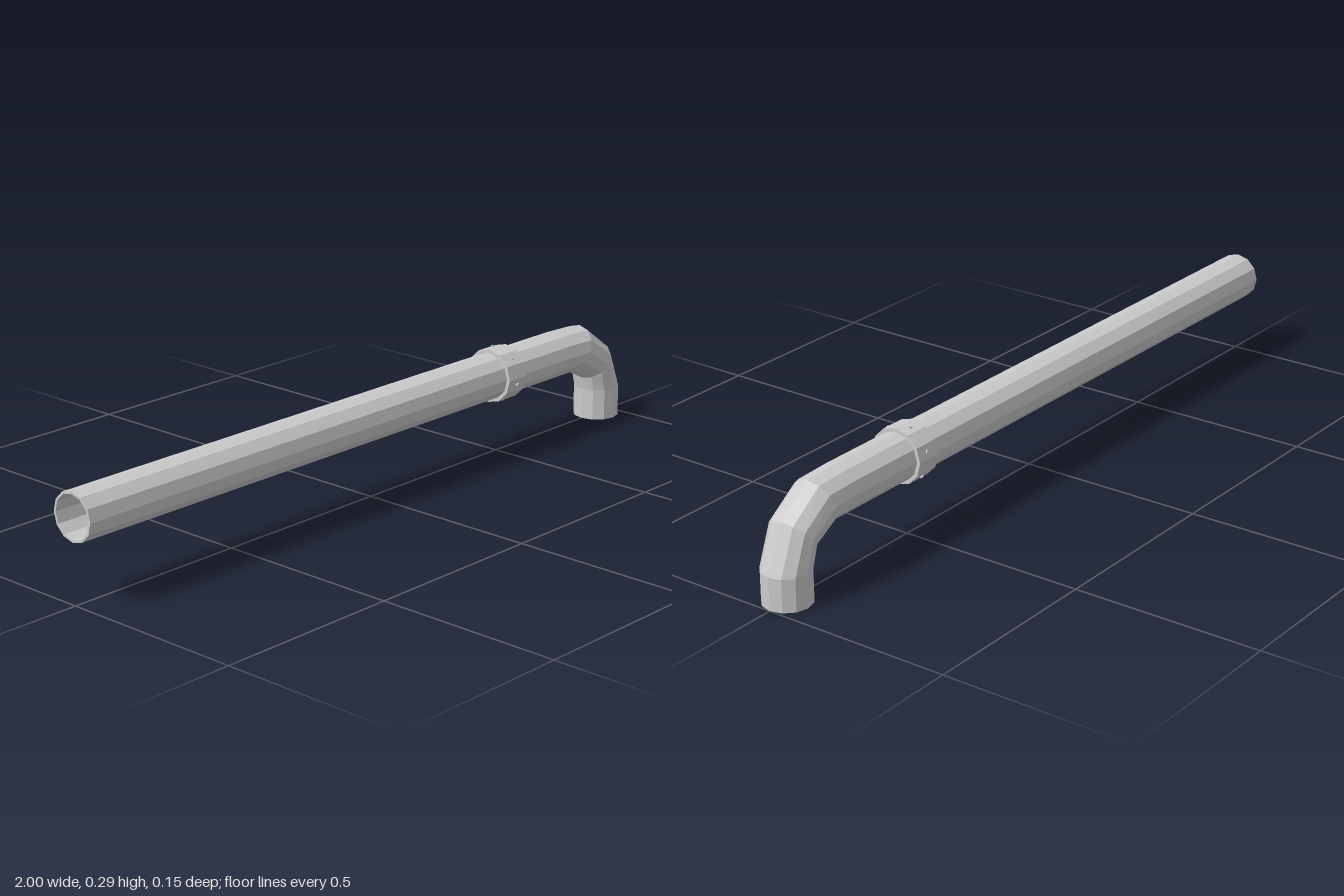
import * as THREE from 'three';

const SIDES = 12, AXIS_Y = 0.217, RADIUS = 0.0625;
const material = new THREE.MeshStandardMaterial({ color: 0xcccccc, flatShading: true });

// Hollow tube through rings given as [outerX, outerY, innerX, innerY];
// the wall runs out along the rings, back inside, and closes at both ends.
function hollowTube(rings, radius, bore) {
  const path = [
    ...rings.map((r) => [r, 1]),
    ...[...rings].reverse().map((r) => [r, bore]),
  ];
  const positions = [], index = [];
  for (const [[ox, oy, ix, iy], s] of path) {
    for (let k = 0; k < SIDES; k++) {
      const t = (k / SIDES) * Math.PI * 2, c = Math.cos(t) * s * 0.5;
      positions.push(
        (ox + ix) / 2 + (ox - ix) * c,
        (oy + iy) / 2 + (oy - iy) * c,
        Math.sin(t) * radius * s
      );
    }
  }
  for (let j = 0; j < path.length; j++) {
    const next = (j + 1) % path.length;
    for (let k = 0; k < SIDES; k++) {
      const k2 = (k + 1) % SIDES;
      const a = j * SIDES + k, b = next * SIDES + k;
      const d = j * SIDES + k2, e = next * SIDES + k2;
      index.push(a, d, b, b, d, e);
    }
  }
  const geometry = new THREE.BufferGeometry();
  geometry.setAttribute('position', new THREE.Float32BufferAttribute(positions, 3));
  geometry.setIndex(index);
  const flat = geometry.toNonIndexed();
  flat.computeVertexNormals();
  return flat;
}

// Upright ring on the horizontal axis
const straight = (x, r) => [x, AXIS_Y + r, x, AXIS_Y - r];

export function createModel() {
  const model = new THREE.Group();
  model.name = 'drainPipe';
  const add = (name, geometry, parent = model) => {
    const mesh = new THREE.Mesh(geometry, material);
    mesh.name = name;
    parent.add(mesh);
    return mesh;
  };

  // Long pipe with a bent elbow and a short downward outlet
  add('pipe', hollowTube([
    straight(-1, RADIUS),
    straight(0.75, RADIUS),
    [0.855, 0.275, 0.80, 0.155],
    [0.95, 0.205, 0.87, 0.12],
    [1, 0.085, 0.875, 0.085],
    [1, 0, 0.875, 0],
  ], RADIUS, 0.9));

  // Collar around the pipe
  const collar = new THREE.Group();
  collar.name = 'collar';
  model.add(collar);
  add('collarBand', hollowTube([straight(0.465, 0.073), straight(0.535, 0.073)], 0.073, 0.87), collar);

  // Screw heads on every second facet
  for (let i = 0; i < 6; i++) {
    const angle = THREE.MathUtils.degToRad(45 + i * 60);
    const screw = add('screw', new THREE.CylinderGeometry(0.005, 0.005, 0.008, 8), collar);
    screw.position.set(0.502, AXIS_Y + Math.cos(angle) * 0.071, Math.sin(angle) * 0.071);
    screw.rotation.x = angle;
  }
  return model;
}
